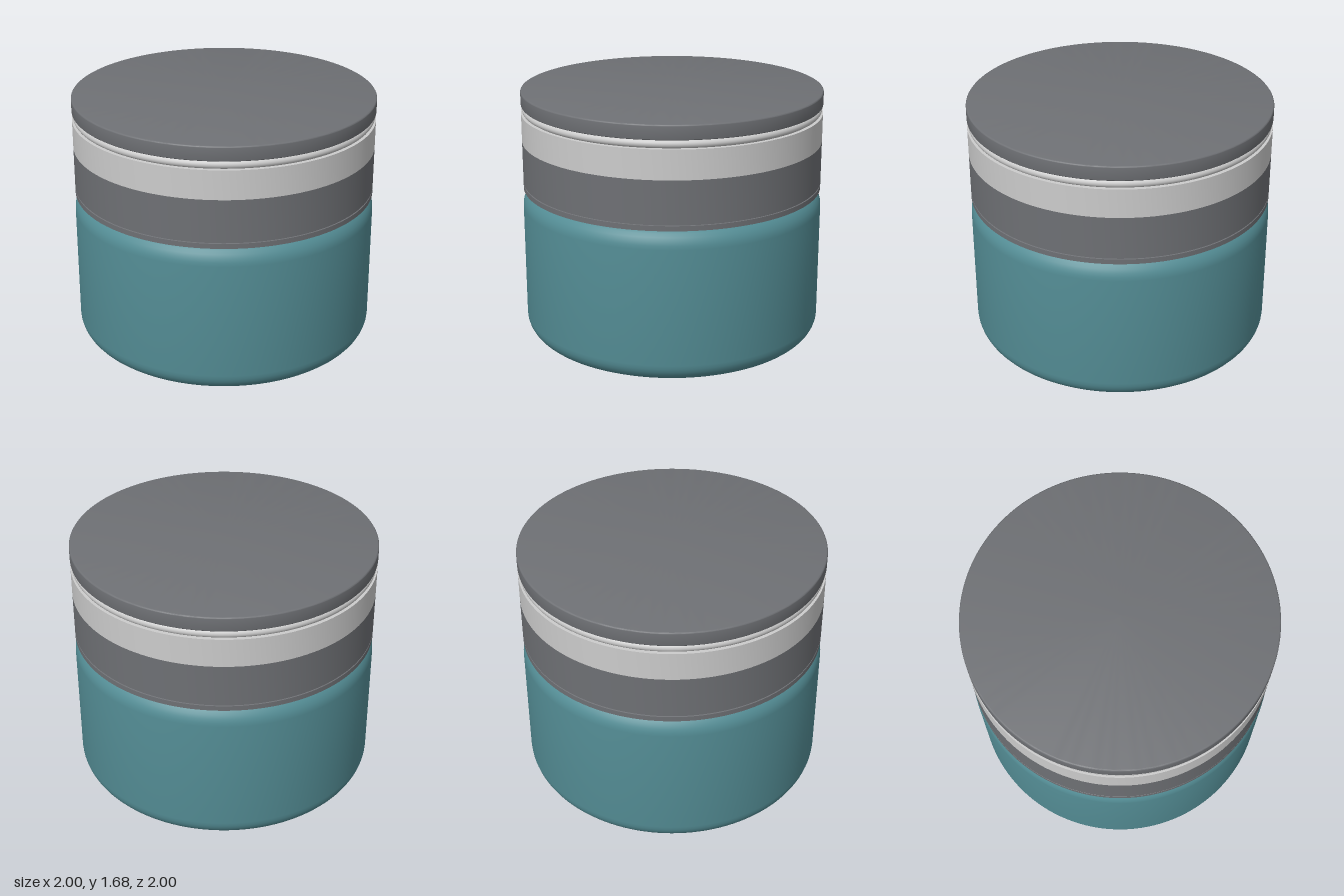
import * as THREE from 'three';
import { toCreasedNormals } from 'three/addons/utils/BufferGeometryUtils.js';

const teal = new THREE.MeshStandardMaterial({ color: 0x538c94 });
const dark = new THREE.MeshStandardMaterial({ color: 0x6e7074 });
const light = new THREE.MeshStandardMaterial({ color: 0xcccccc });

// Turn a [radius, height] profile, listed from bottom to top on the outside
function turned(name, profile, material) {
  const points = profile.map(([r, y]) => new THREE.Vector2(r, y));
  const geometry = toCreasedNormals(new THREE.LatheGeometry(points, 128), 0.5);
  const mesh = new THREE.Mesh(geometry, material);
  mesh.name = name;
  return mesh;
}

// Quarter round profile points about a centre, from angle a to angle b
function arc(r, y, radius, a, b, steps = 8) {
  return Array.from({ length: steps + 1 }, (_, i) => {
    const t = a + (b - a) * i / steps;
    return [r + radius * Math.cos(t), y + radius * Math.sin(t)];
  });
}

export function createModel() {
  const group = new THREE.Group();
  group.name = 'jar';
  const q = Math.PI / 2;

  // Jar with rounded base and shoulder
  group.add(turned('jarBody', [
    [0, 0], ...arc(0.87, 0.13, 0.13, -q, 0), ...arc(0.87, 0.9, 0.13, 0, q), [0, 1.03],
  ], teal));

  // Lower lid band with a fine seam above its rim
  group.add(turned('lidLowerBand', [
    [0.85, 1.02], [0.995, 1.02], [0.995, 1.053], [0.988, 1.055],
    [0.988, 1.06], [0.995, 1.062], [0.995, 1.34], [0.85, 1.34],
  ], dark));

  // Light upper band
  group.add(turned('lidUpperBand', [
    [0.85, 1.34], [0.995, 1.34], [0.995, 1.53], [0.85, 1.53],
  ], light));

  // Rounded bead in the groove under the cap
  group.add(turned('lidBead', [
    [0.85, 1.53], ...arc(0.962, 1.557, 0.027, -q, q), [0.85, 1.584],
  ], light));

  // Flat cap with a small softened edge
  group.add(turned('lidCap', [
    [0, 1.584], ...arc(0.987, 1.592, 0.008, -q, 0, 3),
    ...arc(0.985, 1.67, 0.01, 0, q, 4), [0, 1.68],
  ], dark));

  return group;
}
